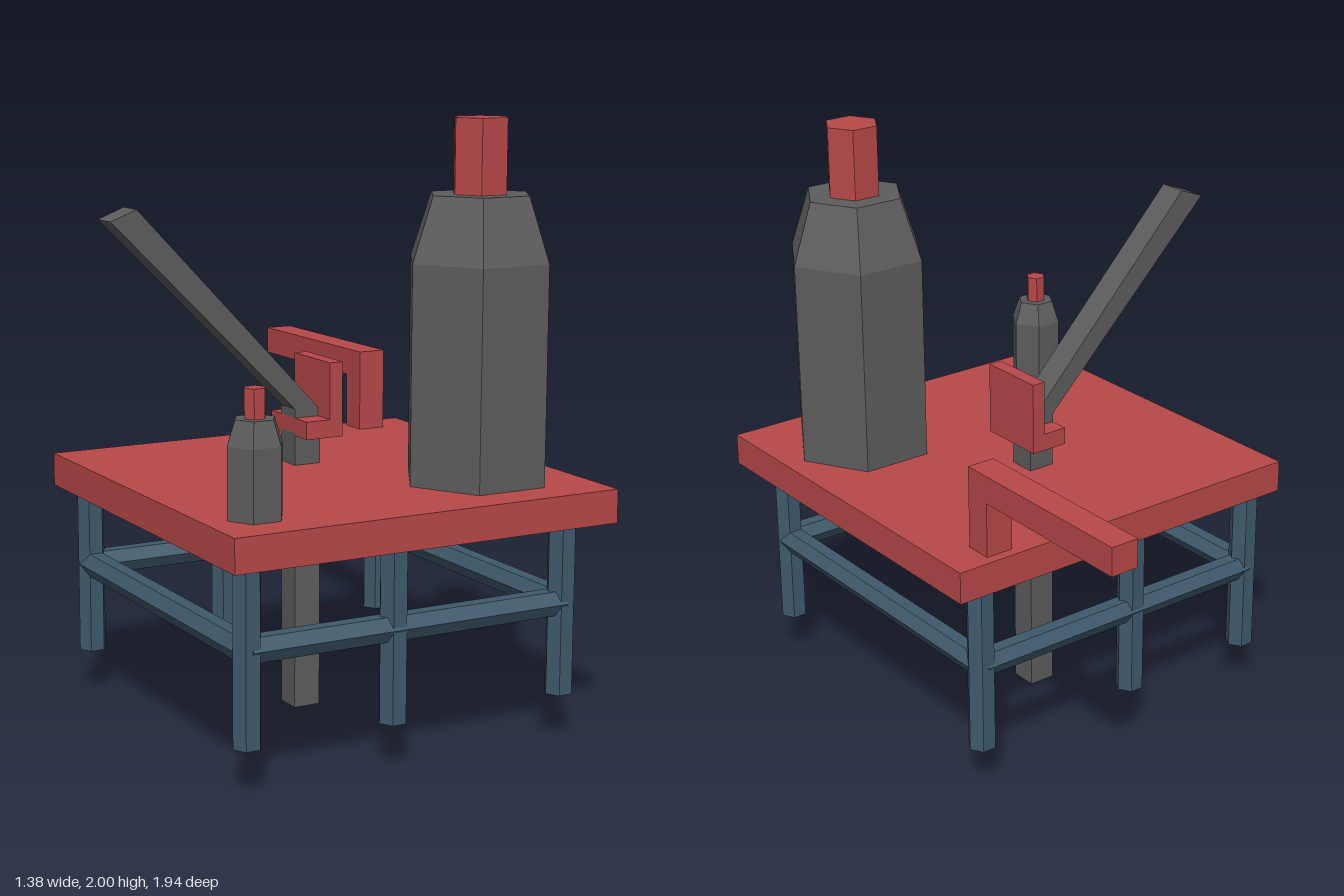
import * as THREE from 'three';

const mat = (name, color) => {
  const m = new THREE.MeshStandardMaterial({ color });
  m.name = name;
  m.flatShading = true;
  return m;
};

export function createModel() {
  const red = mat('red', 0xb84848);
  const grey = mat('dark grey', 0x5d5d5d);
  const blue = mat('slate blue', 0x3f5a6c);
  const model = new THREE.Group();
  model.name = 'workbench';

  const add = (name, geometry, material, parent = model) => {
    const mesh = new THREE.Mesh(geometry, material);
    mesh.name = name;
    parent.add(mesh);
    return mesh;
  };

  // Box given by its minimum and maximum corners
  const box = (name, a, b, material) => {
    const g = new THREE.BoxGeometry(b[0] - a[0], b[1] - a[1], b[2] - a[2]);
    g.translate((a[0] + b[0]) / 2, (a[1] + b[1]) / 2, (a[2] + b[2]) / 2);
    return add(name, g, material);
  };

  // Six-sided prism or frustum with corners on the x axis
  const hex = (rTop, rBottom, y0, y1) =>
    new THREE.CylinderGeometry(rTop, rBottom, y1 - y0, 6, 1, false, Math.PI / 6)
      .translate(0, (y0 + y1) / 2, 0);

  // Table top
  box('tableTop', [-0.67, 0.73, -0.39], [0.69, 0.84, 0.97], red);

  // Legs
  const legX = [-0.56, -0.05, 0.577];
  const legZ = [-0.335, 0.83];
  for (const x of legX) for (const z of legZ)
    add('leg', hex(0.048, 0.048, 0.15, 0.73), blue).position.set(x, 0, z);

  // Rails between the legs, flat on top and bottom
  const railY = 0.455, railR = 0.046;
  for (const z of legZ) for (let i = 0; i < 2; i++) {
    const g = hex(railR, railR, legX[i], legX[i + 1]);
    g.rotateY(Math.PI / 2).rotateZ(-Math.PI / 2);
    g.rotateX(Math.PI);
    add('longRail', g, blue).position.set(0, railY, z);
  }
  for (const x of [legX[0], legX[2]]) {
    const g = hex(railR, railR, legZ[0], legZ[1]).rotateX(Math.PI / 2);
    add('sideRail', g, blue).position.set(x, railY, 0);
  }

  // Centre post with its bracket
  box('post', [-0.04, 0, 0.08], [0.055, 0.95, 0.175], grey);
  box('bracketBase', [-0.04, 0.94, 0.01], [0.047, 1.0, 0.255], red);
  box('bracketPlate', [0.047, 0.94, 0.01], [0.095, 1.19, 0.255], red);

  // Bent lever rising from the bracket
  const outline = [[-0.04, 1.0], [0.047, 1.0], [0.047, 1.03], [-0.605, 1.715], [-0.695, 1.68], [-0.04, 1.03]];
  const leverShape = new THREE.Shape(outline.map(([x, y]) => new THREE.Vector2(x, y)));
  add('lever', new THREE.ExtrudeGeometry(leverShape, { depth: 0.098, bevelEnabled: false }), grey)
    .position.z = 0.077;

  // Crank handle reaching out behind the table
  const crank = new THREE.Shape([
    [0.26, 0.84], [0.355, 0.84], [0.355, 1.028], [0.97, 1.022], [0.97, 1.118], [0.26, 1.122],
  ].map(([x, y]) => new THREE.Vector2(x, y)));
  add('crankHandle', new THREE.ExtrudeGeometry(crank, { depth: 0.098, bevelEnabled: false })
    .rotateY(Math.PI / 2), red).position.x = 0.462;

  // Bottles: straight body, tapered shoulder and cap
  const bottle = (name, x, z, [rBody, rNeck, rCap], [y0, y1, y2, y3]) => {
    const g = new THREE.Group();
    g.name = name;
    g.position.set(x, 0, z);
    add('bottleBody', hex(rBody, rBody, y0, y1), grey, g);
    add('bottleShoulder', hex(rNeck, rBody, y1, y2), grey, g);
    add('bottleCap', hex(rCap, rCap, y2, y3), red, g);
    model.add(g);
  };
  bottle('largeBottle', 0.374, 0.63, [0.246, 0.173, 0.094], [0.84, 1.55, 1.76, 2.0]);
  bottle('smallBottle', -0.5, 0.77, [0.093, 0.066, 0.035], [0.84, 1.065, 1.143, 1.235]);

  return model;
}
